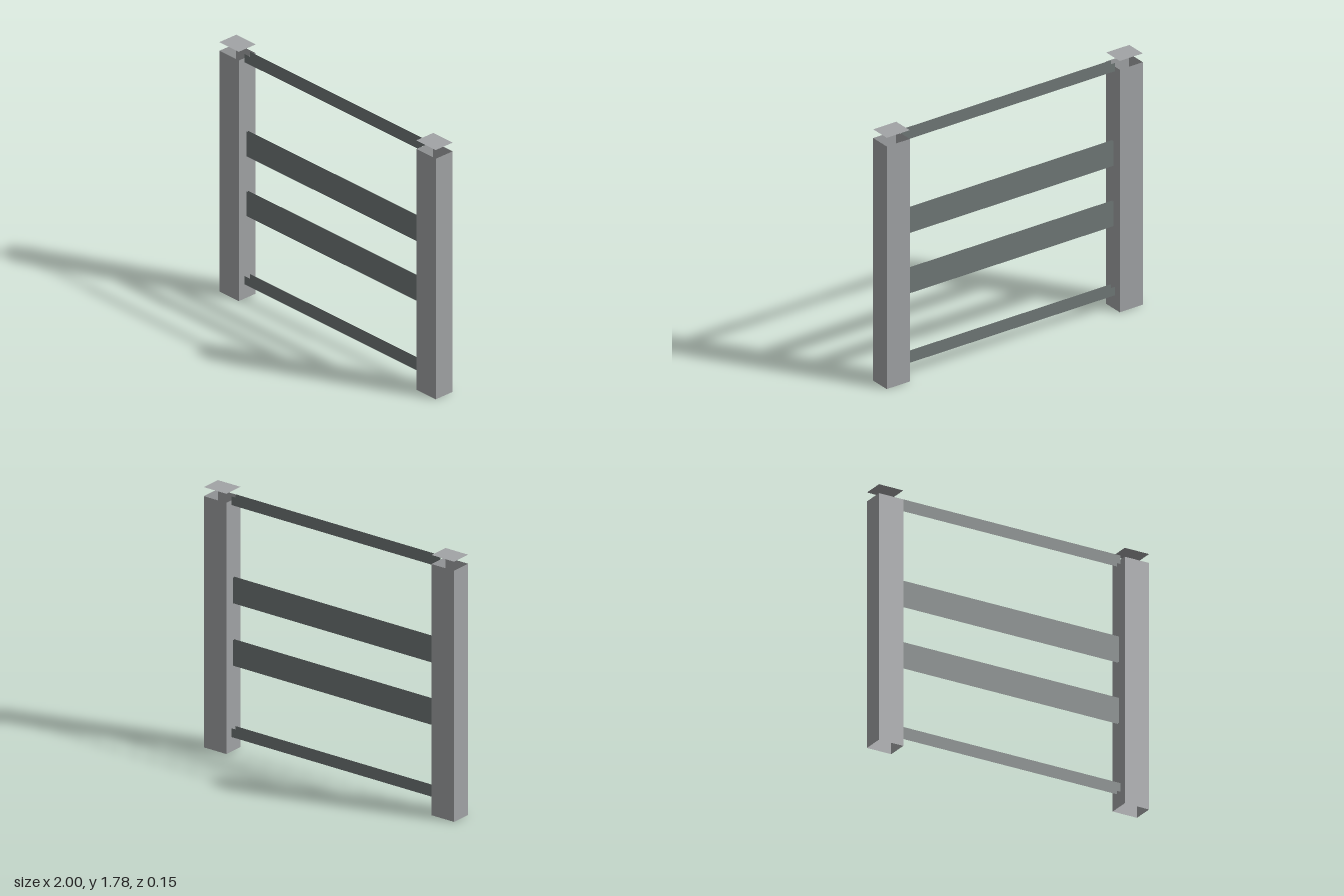
import * as THREE from 'three';

const POST_W = 0.18, POST_D = 0.146, POST_H = 1.718, CAP_Y = 1.78;
const SPAN = 1.64; // clear width between the posts

export function createModel() {
  const postGrey = new THREE.MeshStandardMaterial({ color: 0xa2a4a6, side: THREE.DoubleSide });
  postGrey.name = 'post grey';
  const railGrey = new THREE.MeshStandardMaterial({ color: 0x707877, side: THREE.DoubleSide });
  railGrey.name = 'rail grey';

  const gate = new THREE.Group();
  gate.name = 'fencePanel';

  const addSheet = (parent, name, w, h, material, x, y, z, rx = 0, ry = 0) => {
    const mesh = new THREE.Mesh(new THREE.PlaneGeometry(w, h), material);
    mesh.name = name;
    mesh.position.set(x, y, z);
    mesh.rotation.set(rx, ry, 0);
    parent.add(mesh);
  };

  // Hollow posts, open at both ends, with a flat cap floating above
  for (const [side, s] of [['left', 1], ['right', -1]]) {
    const post = new THREE.Group();
    post.name = side + 'Post';
    post.position.x = s * (1 - POST_W / 2);
    const y = POST_H / 2;
    addSheet(post, 'postFront', POST_W, POST_H, postGrey, 0, y, POST_D / 2);
    addSheet(post, 'postBack', POST_W, POST_H, postGrey, 0, y, -POST_D / 2, 0, Math.PI);
    addSheet(post, 'postLeftSide', POST_D, POST_H, postGrey, POST_W / 2, y, 0, 0, Math.PI / 2);
    addSheet(post, 'postRightSide', POST_D, POST_H, postGrey, -POST_W / 2, y, 0, 0, -Math.PI / 2);
    addSheet(post, 'postCap', POST_W, POST_D, postGrey, 0, CAP_Y, 0, -Math.PI / 2);
    gate.add(post);
  }

  // Rails and slats: front and back skins only, [name, bottom, top, half depth]
  const bars = [
    ['bottomRail', 0.10, 0.16, 0.022],
    ['lowerSlat', 0.583, 0.76, 0.006],
    ['upperSlat', 1.01, 1.188, 0.006],
    ['topRail', 1.687, 1.746, 0.022],
  ];
  for (const [name, y0, y1, d] of bars) {
    const bar = new THREE.Group();
    bar.name = name;
    addSheet(bar, name + 'Front', SPAN, y1 - y0, railGrey, 0, (y0 + y1) / 2, d);
    addSheet(bar, name + 'Back', SPAN, y1 - y0, railGrey, 0, (y0 + y1) / 2, -d, 0, Math.PI);
    gate.add(bar);
  }
  return gate;
}
